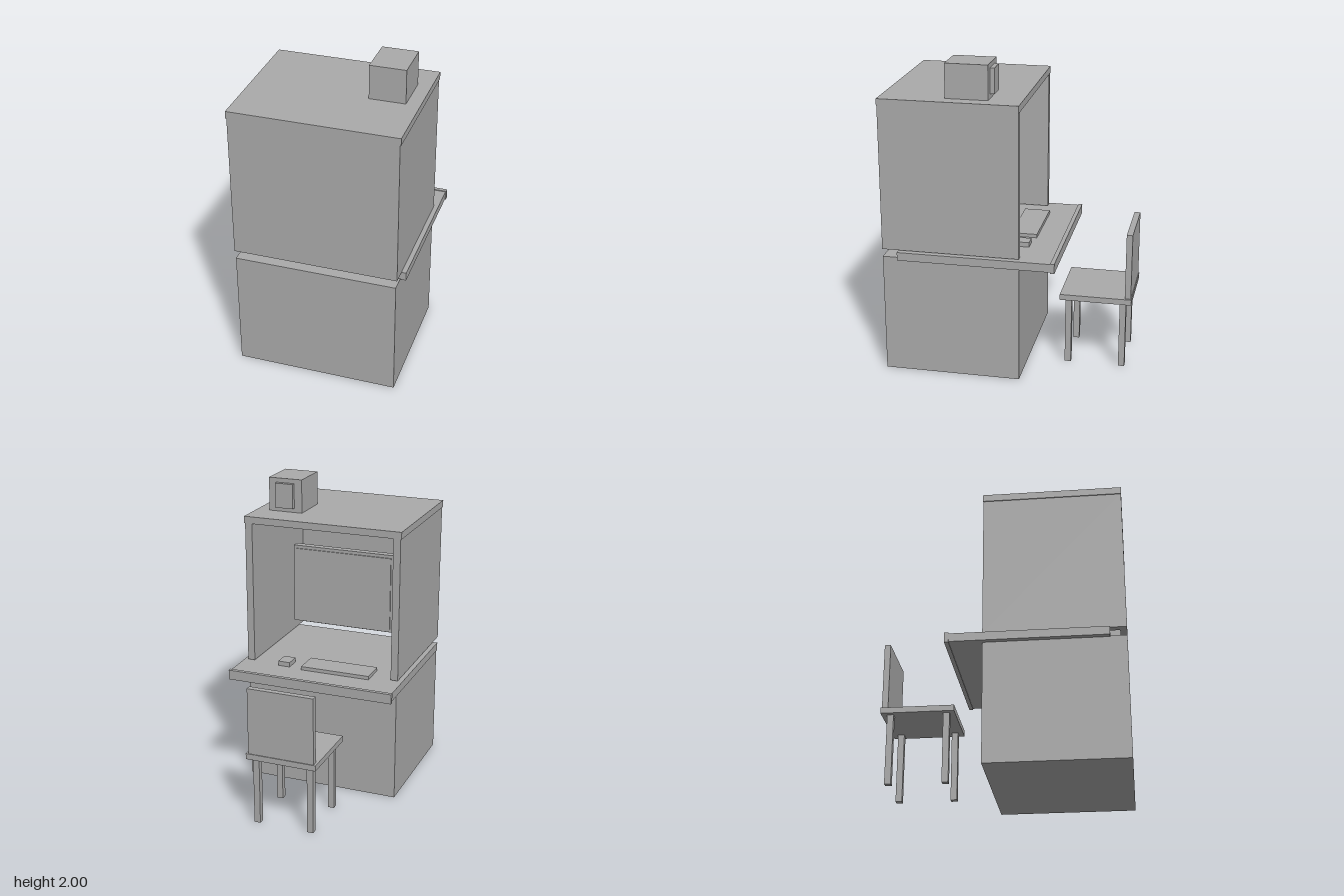
import * as THREE from 'three';

export function createModel() {
  const model = new THREE.Group();
  model.name = 'workstationCabinet';
  const grey = new THREE.MeshStandardMaterial({ color: 0xaaaaaa });
  grey.name = 'plain grey';

  // Box given by its limits on each axis
  function box(name, [x0, x1], [y0, y1], [z0, z1], parent = model) {
    const mesh = new THREE.Mesh(new THREE.BoxGeometry(x1 - x0, y1 - y0, z1 - z0), grey);
    mesh.position.set((x0 + x1) / 2, (y0 + y1) / 2, (z0 + z1) / 2);
    mesh.name = name;
    parent.add(mesh);
    return mesh;
  }

  // Lower cabinet and desk top with an edge trim
  box('lowerCabinet', [-0.51, 0.51], [0, 0.768], [-0.1, 0.767]);
  box('deskTop', [-0.545, 0.545], [0.762, 0.815], [-0.31, 0.665]);
  box('deskEdgeTrim', [-0.55, 0.55], [0.757, 0.82], [-0.326, -0.3]);

  // Upper hood: open towards the chair
  const hood = new THREE.Group();
  hood.name = 'hood';
  model.add(hood);
  for (const [side, s] of [['left', 1], ['right', -1]]) {
    const xs = [s * 0.47, s * 0.517].sort((a, b) => a - b);
    box(side + 'HoodWall', xs, [0.82, 1.745], [-0.1, 0.767], hood);
  }
  box('frontHoodWall', [-0.47, 0.47], [0.82, 1.745], [0.725, 0.767], hood);
  box('hoodRoof', [-0.523, 0.523], [1.74, 1.785], [-0.102, 0.768], hood);

  // Monitor inside the hood
  box('monitor', [-0.35, 0.35], [0.99, 1.514], [0.285, 0.335]);
  box('monitorScreen', [-0.33, 0.33], [1.01, 1.494], [0.277, 0.285]);

  // Keyboard and mouse
  box('keyboard', [-0.335, 0.125], [0.815, 0.838], [-0.138, 0.03]);
  box('mouse', [0.213, 0.293], [0.815, 0.845], [-0.12, -0.02]);

  // Small unit on the roof with a raised plate
  box('roofUnit', [0.212, 0.437], [1.785, 2], [0.1, 0.366]);
  box('roofUnitPlate', [0.264, 0.385], [1.813, 1.972], [0.072, 0.1]);

  // Chair
  const chair = new THREE.Group();
  chair.name = 'chair';
  model.add(chair);
  box('seat', [-0.23, 0.23], [0.445, 0.482], [-0.765, -0.308], chair);
  box('backrest', [-0.215, 0.215], [0.482, 0.912], [-0.76, -0.722], chair);
  for (const x of [-0.178, 0.178]) {
    for (const z of [-0.36, -0.709]) {
      box('chairLeg', [x - 0.02, x + 0.02], [0, 0.445], [z - 0.02, z + 0.02], chair);
    }
  }

  return model;
}
